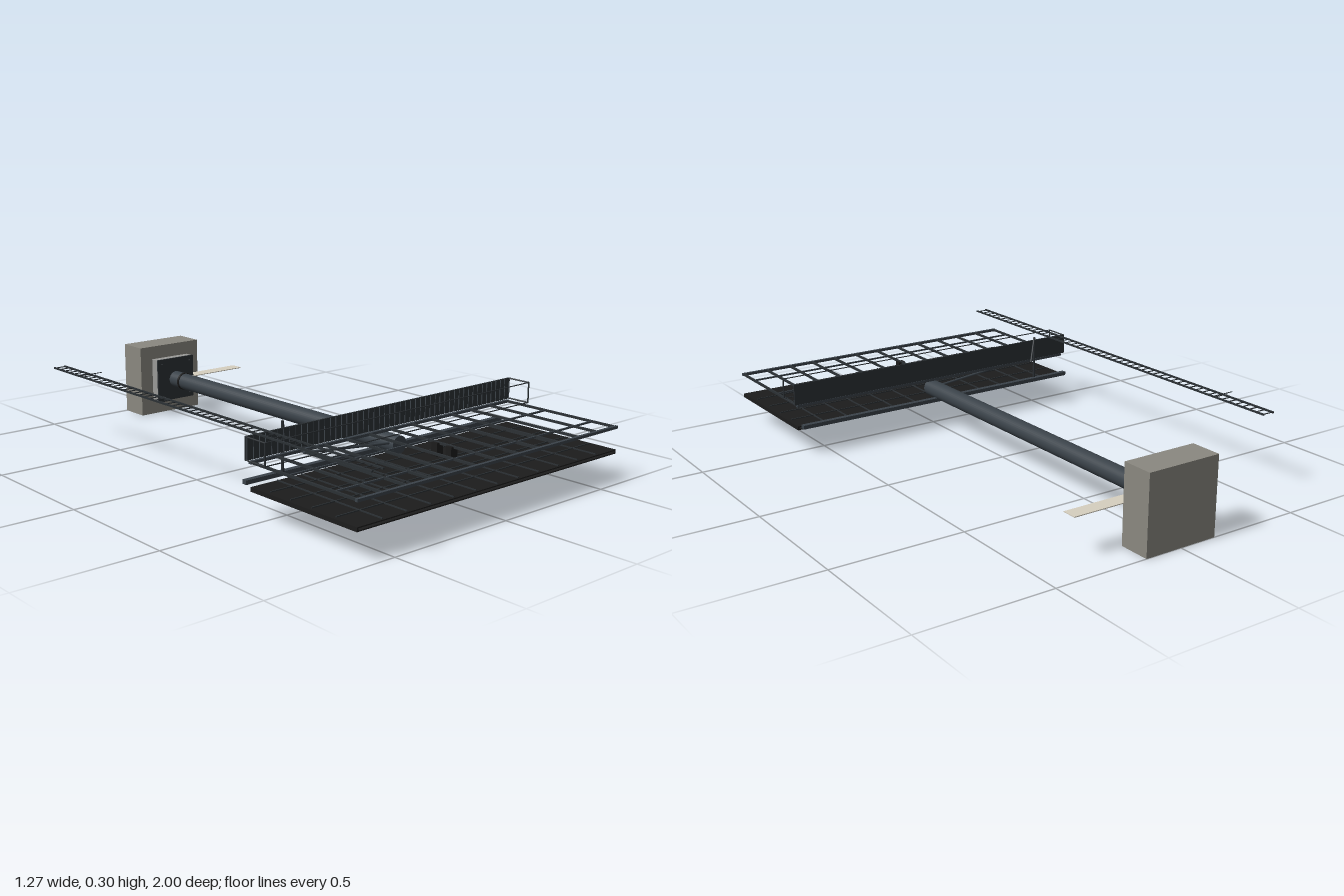
import * as THREE from 'three';

const mat = (color) => new THREE.MeshStandardMaterial({ color, side: THREE.DoubleSide });
const M = {
  concrete: mat(0x8a8880), grout: mat(0x9a9a98), steel: mat(0x3a4249), dark: mat(0x2b3034),
  black: mat(0x1c1c1c), rib: mat(0x4a525a), tan: mat(0xd6cfbf), brown: mat(0x6b3d16),
  orange: mat(0xc07a30), silver: mat(0xa0a6ac),
};

export function createModel() {
  const root = new THREE.Group();
  const group = (name) => {
    const g = new THREE.Group();
    g.name = name;
    root.add(g);
    return g;
  };
  // Box given by its minimum and maximum corners
  const box = (parent, name, material, x0, x1, y0, y1, z0, z1) => {
    const m = new THREE.Mesh(new THREE.BoxGeometry(x1 - x0, y1 - y0, z1 - z0), material);
    m.position.set((x0 + x1) / 2, (y0 + y1) / 2, (z0 + z1) / 2);
    m.name = name;
    parent.add(m);
    return m;
  };
  // Round bar between two points
  const rod = (parent, name, material, a, b, r, sides = 8) => {
    const p = new THREE.Vector3(...a), q = new THREE.Vector3(...b);
    const m = new THREE.Mesh(new THREE.CylinderGeometry(r, r, p.distanceTo(q), sides), material);
    m.position.copy(p).add(q).multiplyScalar(0.5);
    m.quaternion.setFromUnitVectors(new THREE.Vector3(0, 1, 0), q.sub(p).normalize());
    m.name = name;
    parent.add(m);
    return m;
  };

  // Foundation
  const base = group('foundation');
  box(base, 'footing', M.concrete, -0.145, 0.145, 0, 0.29, -1, -0.88);
  box(base, 'plinth', M.grout, -0.088, 0.088, 0.062, 0.236, -0.88, -0.842);
  box(base, 'basePlate', M.dark, -0.09, 0.09, 0.06, 0.238, -0.842, -0.835);
  for (const x of [-0.07, 0.07])
    for (const y of [0.078, 0.218])
      rod(base, 'anchorBolt', M.dark, [x, y, -0.836], [x, y, y < 0.1 && x < 0 ? -0.81 : -0.828], 0.003);
  box(base, 'groundSlab', M.tan, 0.03, 0.34, 0.146, 0.149, -0.88, -0.825);
  box(base, 'slabMarker', M.orange, 0.085, 0.105, 0.149, 0.151, -0.88, -0.865);

  // Column
  const column = group('column');
  rod(column, 'pole', M.steel, [0, 0.147, -0.838], [0, 0.147, 0.512], 0.033, 32);
  rod(column, 'collar', M.black, [0, 0.147, -0.777], [0, 0.147, -0.767], 0.036, 32);

  // Display board, hollow between its two sheets
  const board = group('displayBoard');
  box(board, 'faceSheet', M.black, -0.62, 0.62, 0.098, 0.102, 0.465, 0.965);
  box(board, 'backSheet', M.black, -0.62, 0.62, 0.109, 0.113, 0.465, 0.965);
  for (const s of [-1, 1]) box(board, 'endTrim', M.black, s * 0.62 - 0.003, s * 0.62 + 0.003, 0.098, 0.113, 0.465, 0.965);
  for (let i = -5; i <= 5; i++)
    box(board, 'boardRib', M.dark, i * 0.103 - 0.002, i * 0.103 + 0.002, 0.113, 0.117, 0.47, 0.96);
  for (const z of [0.55, 0.65, 0.75, 0.86])
    box(board, 'boardCrossRib', M.dark, -0.61, 0.61, 0.113, 0.117, z - 0.002, z + 0.002);
  box(board, 'lowerBeam', M.steel, -0.62, 0.62, 0.113, 0.128, 0.42, 0.44);

  // Open lattice behind the board
  const frame = group('supportFrame');
  for (const z of [0.465, 0.962])
    box(frame, 'frameRail', M.steel, -0.624, 0.624, 0.19, 0.2, z - 0.006, z + 0.006);
  for (const z of [0.65, 0.86])
    box(frame, 'frameCrossBar', M.steel, -0.62, 0.62, 0.192, 0.198, z - 0.003, z + 0.003);
  for (let i = -6; i <= 6; i++)
    box(frame, 'stringer', M.dark, i * 0.103 - 0.004, i * 0.103 + 0.004, 0.191, 0.199, 0.465, 0.962);
  for (const z of [0.69, 0.755])
    box(frame, 'hangerBlock', M.black, -0.015, 0.015, 0.15, 0.197, z - 0.013, z + 0.013);
  rod(frame, 'diagonalBrace', M.steel, [-0.42, 0.195, 0.49], [-0.03, 0.155, 0.49], 0.005);

  // Catwalk: ribbed deck with a guard rail
  const walk = group('catwalk');
  box(walk, 'deck', M.dark, -0.637, 0.635, 0.202, 0.283, 0.455, 0.461);
  for (let i = 0; i <= 50; i++) {
    const x = -0.632 + i * 0.02525;
    box(walk, 'deckRib', M.rib, x - 0.001, x + 0.001, 0.204, 0.281, 0.461, 0.463);
  }
  for (const y of [0.204, 0.281])
    rod(walk, 'guardRail', M.dark, [-0.636, y, 0.555], [0.634, y, 0.555], 0.002, 6);
  for (const x of [-0.634, 0.632]) {
    for (const y of [0.204, 0.281]) rod(walk, 'endRail', M.dark, [x, y, 0.46], [x, y, 0.555], 0.003, 6);
    rod(walk, 'endPost', M.dark, [x, 0.204, 0.555], [x, 0.281, 0.555], 0.003, 6);
  }

  // Davit: post with a slanted arm
  const davit = group('davit');
  rod(davit, 'davitPost', M.dark, [-0.465, 0.12, 0.437], [-0.465, 0.3, 0.437], 0.005);
  rod(davit, 'davitArm', M.dark, [-0.465, 0.3, 0.437], [-0.405, 0.215, 0.377], 0.004);

  // Ladder
  const ladder = group('ladder');
  for (const x of [-0.598, -0.552])
    box(ladder, 'ladderRail', M.dark, x - 0.003, x + 0.003, 0.283, 0.289, -0.8, 1);
  for (let i = 0; i <= 52; i++)
    rod(ladder, 'rung', M.dark, [-0.598, 0.286, -0.795 + i * 0.0343], [-0.552, 0.286, -0.795 + i * 0.0343], 0.002, 6);
  rod(ladder, 'ladderCrossBar', M.dark, [-0.625, 0.297, -0.57], [-0.525, 0.297, -0.57], 0.0015, 6);
  for (const x of [-0.598, -0.552])
    rod(ladder, 'crossBarBracket', M.dark, [x, 0.286, -0.57], [x, 0.297, -0.57], 0.0015, 6);

  // Relief shapes on the board face: half outline [offset, z], mirrored and extruded
  const relief = (name, material, cx, half, y0, y1) => {
    const pts = [...half, ...half.map(([w, z]) => [-w, z]).reverse()];
    const shape = new THREE.Shape(pts.map(([w, z]) => new THREE.Vector2(cx + w, -z)));
    const geo = new THREE.ExtrudeGeometry(shape, { depth: y1 - y0, bevelEnabled: false });
    geo.rotateX(-Math.PI / 2).translate(0, y0, 0);
    const m = new THREE.Mesh(geo, material);
    m.name = name;
    face.add(m);
  };
  const face = group('faceRelief');
  relief('tallBottle', M.brown, 0.352,
    [[0.042, 0.528], [0.042, 0.69], [0.034, 0.725], [0.016, 0.75], [0.014, 0.835], [0.018, 0.838], [0.018, 0.855]], 0.084, 0.094);
  box(face, 'bottleLabel', M.orange, 0.315, 0.389, 0.076, 0.079, 0.59, 0.67);
  relief('smallBottle', M.silver, 0.198,
    [[0.038, 0.68], [0.038, 0.78], [0.026, 0.81], [0.012, 0.82], [0.012, 0.86]], 0.081, 0.087);
  box(face, 'smallBottleLabel', M.grout, 0.175, 0.221, 0.077, 0.08, 0.7, 0.76);
  const arc = new THREE.Mesh(new THREE.TorusGeometry(0.042, 0.0015, 6, 24, Math.PI), M.silver);
  arc.rotation.x = -Math.PI / 2;
  arc.position.set(-0.262, 0.087, 0.7);
  arc.name = 'curvedStrip';
  face.add(arc);

  return root;
}
